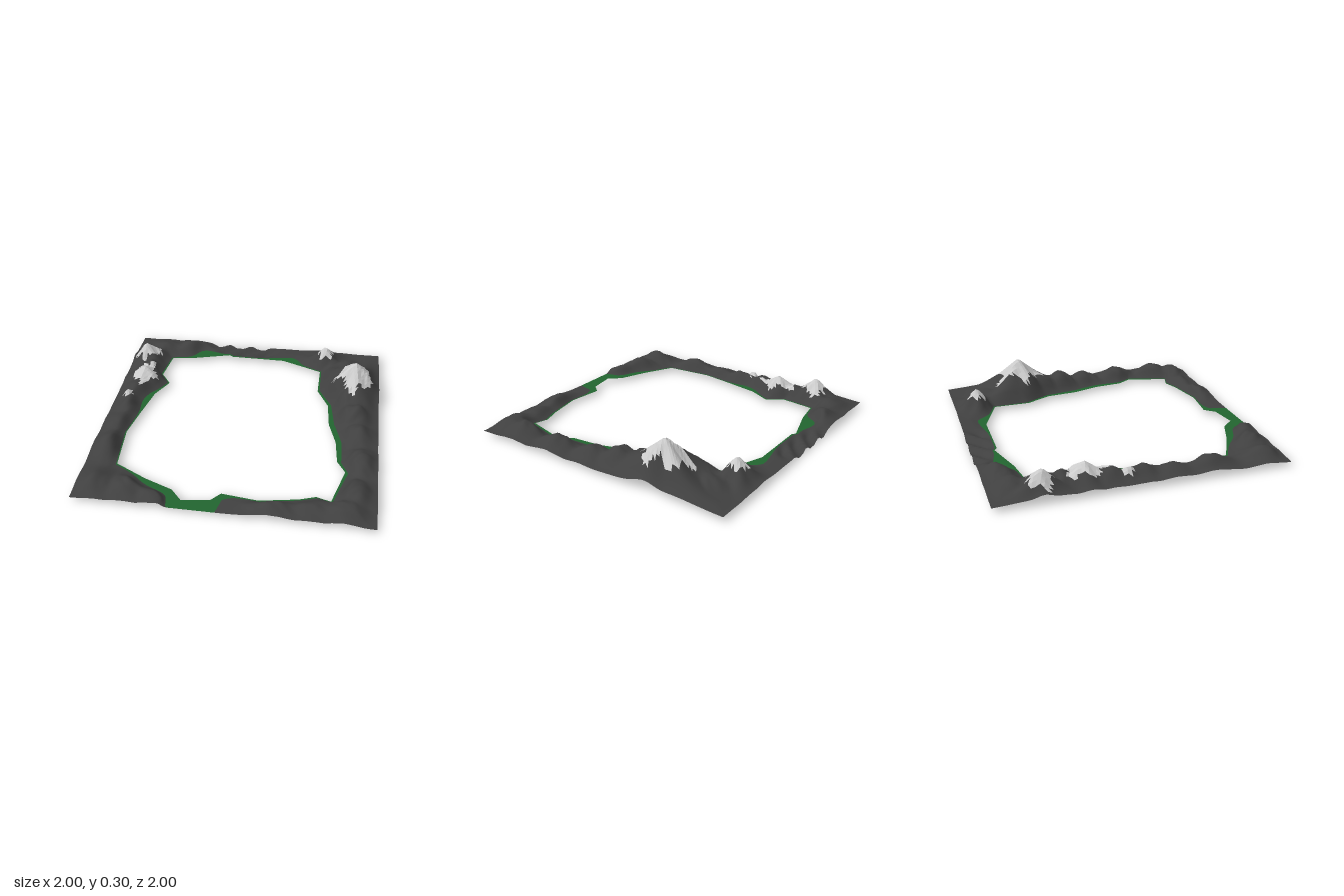
import * as THREE from 'three';

const BASE = 0.03;
const smooth = THREE.MathUtils.smoothstep;
const lerp = THREE.MathUtils.lerp;

// Corner points [x, z] of the valley rim; each side runs on to the start of the next
const RIM = {
  back: [[-0.69, -0.73], [-0.5, -0.76], [-0.23, -0.84], [-0.2, -0.82], [0.22, -0.82], [0.35, -0.77]],
  left: [[0.53, -0.7], [0.53, -0.43], [0.62, -0.25], [0.64, -0.02], [0.7, 0.18], [0.72, 0.39], [0.78, 0.49]],
  front: [[0.7, 0.79], [0.6, 0.76], [0.49, 0.8], [0.23, 0.85], [-0.02, 0.82], [-0.08, 0.89], [-0.27, 0.92], [-0.35, 0.83], [-0.55, 0.75]],
  right: [[-0.78, 0.63], [-0.81, 0.28], [-0.77, 0.05], [-0.72, -0.21], [-0.64, -0.37], [-0.72, -0.48]],
};
const CORNERS = [[-1, -1], [1, -1], [1, 1], [-1, 1]];

// Places where the grass strip widens: [x, z, width, radius]
const MEADOWS = [
  [-0.18, 0.9, 0.25, 0.14], [-0.4, -0.79, 0.09, 0.1], [0.22, -0.82, 0.08, 0.12],
  [-0.74, -0.13, 0.04, 0.12], [0.68, 0.1, 0.03, 0.4], [-0.47, 0.78, 0.04, 0.14],
];

// Rounded hills: [x, z, height]
const HILLS = [
  [0.78, -0.28, 0.14], [0.82, -0.11, 0.12], [0.86, 0.1, 0.085], [0.9, 0.4, 0.1], [0.86, 0.72, 0.09],
  [0.8, 0.91, 0.085], [0.58, 0.89, 0.05], [0.32, 0.93, 0.08], [-0.43, 0.92, 0.09], [-0.64, 0.88, 0.08],
  [-0.88, 0.86, 0.08], [-0.9, 0.45, 0.095], [-0.91, 0.2, 0.07], [-0.86, -0.02, 0.08], [-0.85, -0.23, 0.09],
  [-0.82, -0.53, 0.09], [-0.78, -0.85, 0.07], [-0.55, -0.88, 0.08], [0.74, -0.73, 0.07],
];

// Sharp summits: [x, z, height, radius, stretch of the snow cap along z]
const PEAKS = [
  [0.8, -0.45, 0.28, 0.2, 1.35], [0.56, -0.83, 0.16, 0.1, 1], [-0.89, -0.67, 0.165, 0.12, 1.25],
  [-0.81, -0.7, 0.1, 0.06, 1], [-0.83, -0.38, 0.14, 0.13, 1.75], [-0.9, -0.11, 0.1, 0.06, 1],
];

// Bell curve round a point
const bell = (x, z, px, pz, r) => Math.exp(-((x - px) ** 2 + (z - pz) ** 2) / (r * r));

function grassWidth(x, z) {
  return MEADOWS.reduce((sum, [mx, mz, width, r]) => sum + width * bell(x, z, mx, mz, r), 0.012);
}

// Height of the rock; climb is the distance already covered from the grass
function rockHeight(x, z, climb) {
  const inset = 1 - Math.max(Math.abs(x), Math.abs(z));
  let h = 0;
  for (const [px, pz, top] of HILLS) h = Math.max(h, top * bell(x, z, px, pz, 0.14));
  const rough = Math.sin(x * 31 + 3 * Math.sin(z * 17)) * Math.sin(z * 27 + 2 * Math.sin(x * 23));
  // the land sinks towards the outer edge and flattens at the corners
  h *= (1 + 0.12 * rough) * lerp(0.45, 1, smooth(inset, 0, 0.13));
  h *= smooth(2 - Math.abs(x) - Math.abs(z), 0, 0.22);
  for (const [px, pz, top, r] of PEAKS) {
    const d = Math.hypot(x - px, z - pz);
    const ribs = 1 + 0.15 * Math.sin(5 * Math.atan2(z - pz, x - px) + px * 9) * smooth(d, 0, 0.08);
    const slope = Math.exp(-Math.pow(d / (r * ribs), 1.3));
    h = Math.max(h, top * slope * lerp(0.5, 1, smooth(inset, 0, 0.1)));
  }
  // sunken gully along the back
  const gully = smooth(x, -0.45, -0.3) * (1 - smooth(x, 0, 0.2)) * (1 - smooth(z, -0.85, -0.78));
  h = lerp(h, -0.022 + 0.022 * Math.sin(x * 34 + z * 40), gully);
  return Math.max(0, BASE + h * smooth(climb, -0.01, 0.09));
}

// Jagged snow caps round the summits
function isSnow(x, z) {
  return PEAKS.some(([px, pz, , r, stretch]) => {
    const u = (x - px) / (0.65 * r), v = (z - pz) / (0.65 * r * stretch), a = Math.atan2(v, u);
    return Math.hypot(u, v) < 0.9 + 0.2 * Math.sin(5 * a + px * 7) + 0.1 * Math.sin(9 * a);
  });
}

// Closely spaced stations round the rim, each paired with a point on the square edge
function stations() {
  const list = [], sides = Object.values(RIM);
  sides.forEach((side, k) => {
    const next = (k + 1) % 4, axis = k % 2;
    const rim = [...side, sides[next][0]];
    const start = rim[0][axis], end = sides[next][0][axis];
    side.forEach((p, i) => {
      const q = rim[i + 1];
      const n = Math.ceil(Math.hypot(q[0] - p[0], q[1] - p[1]) / 0.022);
      for (let m = 0; m < n; m++) {
        const [x, z] = p.map((v, c) => lerp(v, q[c], m / n));
        const f = ((axis ? z : x) - start) / (end - start);
        const [ox, oz] = CORNERS[k].map((v, c) => lerp(v, CORNERS[next][c], f));
        const width = Math.hypot(ox - x, oz - z);
        list.push({ x, z, ox, oz, width, grass: Math.min(1, grassWidth(x, z) / width) });
      }
    });
  });
  return list;
}

export function createModel() {
  const group = new THREE.Group();
  group.name = 'mountainRing';
  const ring = stations(), rows = 16;
  const positions = [], faces = { grass: [], rock: [], snow: [] };

  // Row 0 is the rim, row 1 the top of the grass, the rest climb over the rock
  for (const s of ring) {
    for (let j = 0; j <= rows; j++) {
      const t = j === 0 ? 0 : lerp(s.grass, 1, (j - 1) / (rows - 1));
      const x = lerp(s.x, s.ox, t), z = lerp(s.z, s.oz, t);
      positions.push(x, j < 2 ? BASE : rockHeight(x, z, (t - s.grass) * s.width), z);
    }
  }

  // Sort the triangles by ground cover
  const addFace = (j, ...tri) => {
    const mid = (c) => tri.reduce((sum, v) => sum + positions[v * 3 + c], 0) / 3;
    const cover = j === 0 ? 'grass' : isSnow(mid(0), mid(2)) ? 'snow' : 'rock';
    faces[cover].push(...tri);
  };
  for (let i = 0; i < ring.length; i++) {
    const next = (i + 1) % ring.length;
    for (let j = 0; j < rows; j++) {
      const a = i * (rows + 1) + j, c = next * (rows + 1) + j;
      addFace(j, a, c, a + 1);
      addFace(j, c, c + 1, a + 1);
    }
  }

  // One mesh per ground cover; snow is faceted, the rest smooth
  const colors = { grass: 0x22652f, rock: 0x404040, snow: 0xcccccc };
  for (const [name, index] of Object.entries(faces)) {
    let geometry = new THREE.BufferGeometry();
    geometry.setAttribute('position', new THREE.Float32BufferAttribute(positions, 3));
    geometry.setIndex(index);
    if (name === 'snow') geometry = geometry.toNonIndexed();
    geometry.computeVertexNormals();
    const mesh = new THREE.Mesh(geometry, new THREE.MeshStandardMaterial({ color: colors[name], side: THREE.DoubleSide }));
    mesh.name = name;
    group.add(mesh);
  }
  return group;
}
